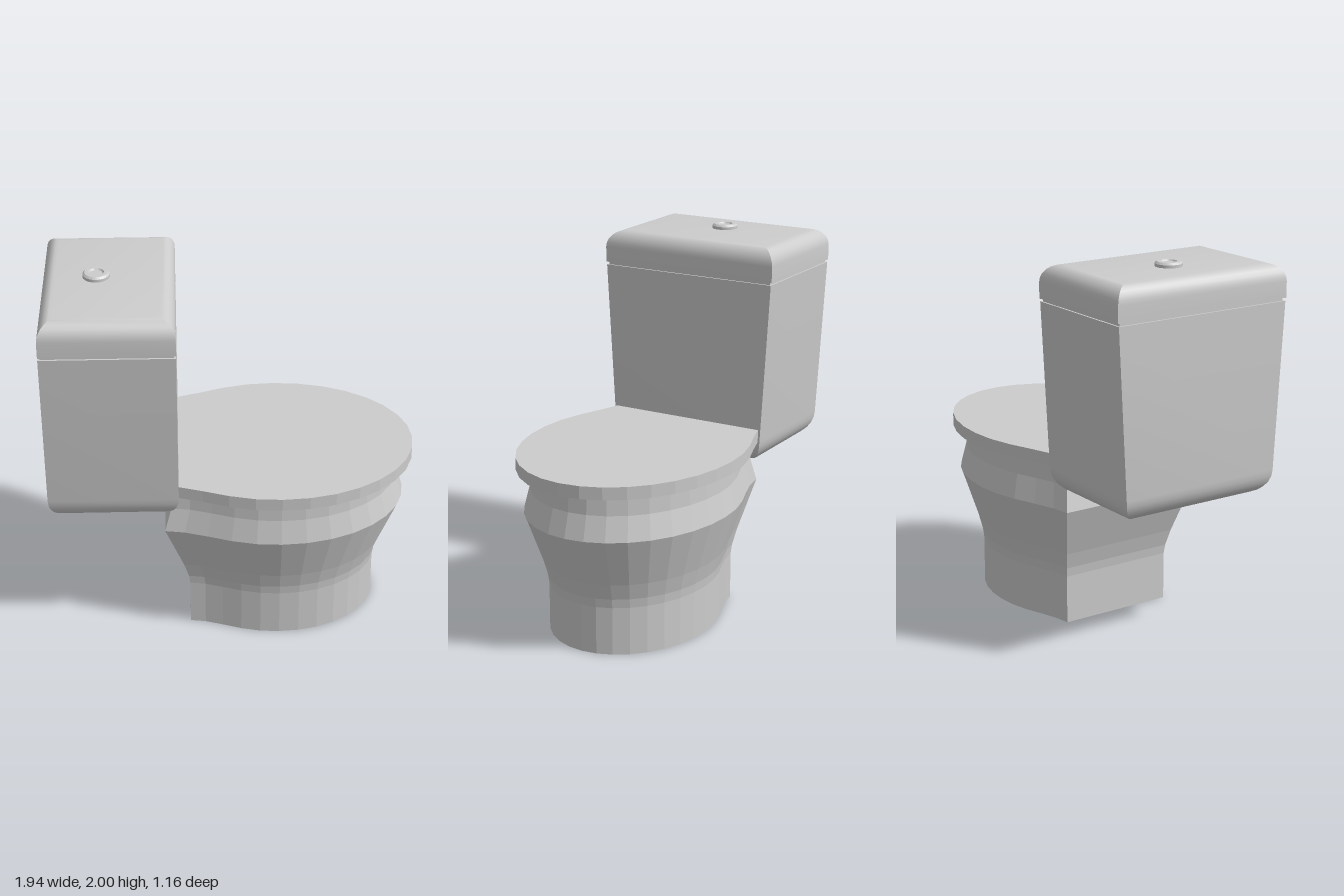
import * as THREE from 'three';
import { toCreasedNormals } from 'three/addons/utils/BufferGeometryUtils.js';

// Skin a stack of rings (bottom to top, counter-clockwise from above) and cap both ends
function loft(rings) {
  const pos = [];
  const tri = (...pts) => pts.forEach((p) => pos.push(...p));
  const centre = (ring) => [0, 1, 2].map((k) => ring.reduce((s, p) => s + p[k], 0) / ring.length);
  const n = rings[0].length;
  const bottom = rings[0], top = rings[rings.length - 1];
  const cb = centre(bottom), ct = centre(top);
  for (let i = 0; i < n; i++) {
    const j = (i + 1) % n;
    for (let r = 0; r < rings.length - 1; r++) {
      const lo = rings[r], hi = rings[r + 1];
      tri(lo[i], lo[j], hi[i]);
      tri(lo[j], hi[j], hi[i]);
    }
    tri(cb, bottom[j], bottom[i]);
    tri(ct, top[i], top[j]);
  }
  const g = new THREE.BufferGeometry();
  g.setAttribute('position', new THREE.Float32BufferAttribute(pos, 3));
  g.computeVertexNormals();
  return g;
}

// Egg-shaped outline with a flat back, for a half width of 1
const half = [];
for (let i = 0; i <= 8; i++) {
  const a = (i / 8) * Math.PI / 2;
  half.push([1.26 * Math.cos(a), Math.sin(a)]);
}
half.push([-0.24, 0.983], [-0.48, 0.925], [-0.71, 0.842], [-0.93, 0.77], [-1.12, 0.74]);
const outline = [
  ...half.map(([x, z]) => [x, -z]),
  ...half.slice(1).reverse(),
];
const eggRing = ([y, s]) => outline.map(([x, z]) => [0.24 + x * s, y, z * s]);

// Rectangular ring for the tank parts
const TANK_X = -0.635;
const boxRing = ([y, hx, hz]) => [
  [TANK_X + hx, y, hz], [TANK_X + hx, y, -hz],
  [TANK_X - hx, y, -hz], [TANK_X - hx, y, hz],
];

export function createModel() {
  const group = new THREE.Group();
  const ceramic = new THREE.MeshStandardMaterial({ color: 0xcccccc });
  ceramic.name = 'ceramic grey';
  const facetedCeramic = ceramic;

  const add = (name, geometry) => {
    const mesh = new THREE.Mesh(geometry, facetedCeramic);
    mesh.name = name;
    group.add(mesh);
    return mesh;
  };

  // Pedestal and bowl: the outline scaled up the height
  add('bowl', loft([
    [0, 0.43], [0.26, 0.43], [0.31, 0.436], [0.4, 0.459],
    [0.67, 0.545], [0.8, 0.514], [0.89, 0.51],
  ].map(eggRing)));

  // Closed seat lid with a sloping underside
  add('seatLid', loft([[0.885, 0.512], [0.912, 0.579], [0.98, 0.579]].map(eggRing)));

  // Tank body: rounded bottom edges, sides widening upwards, narrow neck under the lid
  const steps = 6;
  const body = [];
  for (let i = 0; i <= steps; i++) {
    const a = (i / steps) * Math.PI / 2;
    const inset = 0.11 * (1 - Math.sin(a));
    body.push([0.78 + 0.13 * (1 - Math.cos(a)), 0.34 - inset, 0.457 - inset]);
  }
  body.push([1.785, 0.34, 0.508], [1.785, 0.33, 0.498], [1.81, 0.33, 0.498]);
  add('tankBody', toCreasedNormals(loft(body.map(boxRing)), 0.5));

  // Tank lid: rounded top edges with mitred corners
  const lid = [[1.8, 0.34, 0.513]];
  for (let i = 0; i <= steps; i++) {
    const a = (i / steps) * Math.PI / 2;
    const k = 1 - Math.cos(a);
    lid.push([1.885 + 0.09 * Math.sin(a), 0.34 - 0.075 * k, 0.513 - 0.09 * k]);
  }
  add('tankLid', toCreasedNormals(loft(lid.map(boxRing)), 0.5));

  // Flush button with a shallow dish
  const profile = [
    [0.07, 1.97], [0.07, 1.99], [0.06, 2.0], [0.04, 2.0], [0.034, 1.992], [0, 1.992],
  ].map(([r, y]) => new THREE.Vector2(r, y));
  const button = add('flushButton', toCreasedNormals(new THREE.LatheGeometry(profile, 32), 0.5));
  button.position.set(-0.695, 0, -0.012);

  return group;
}
